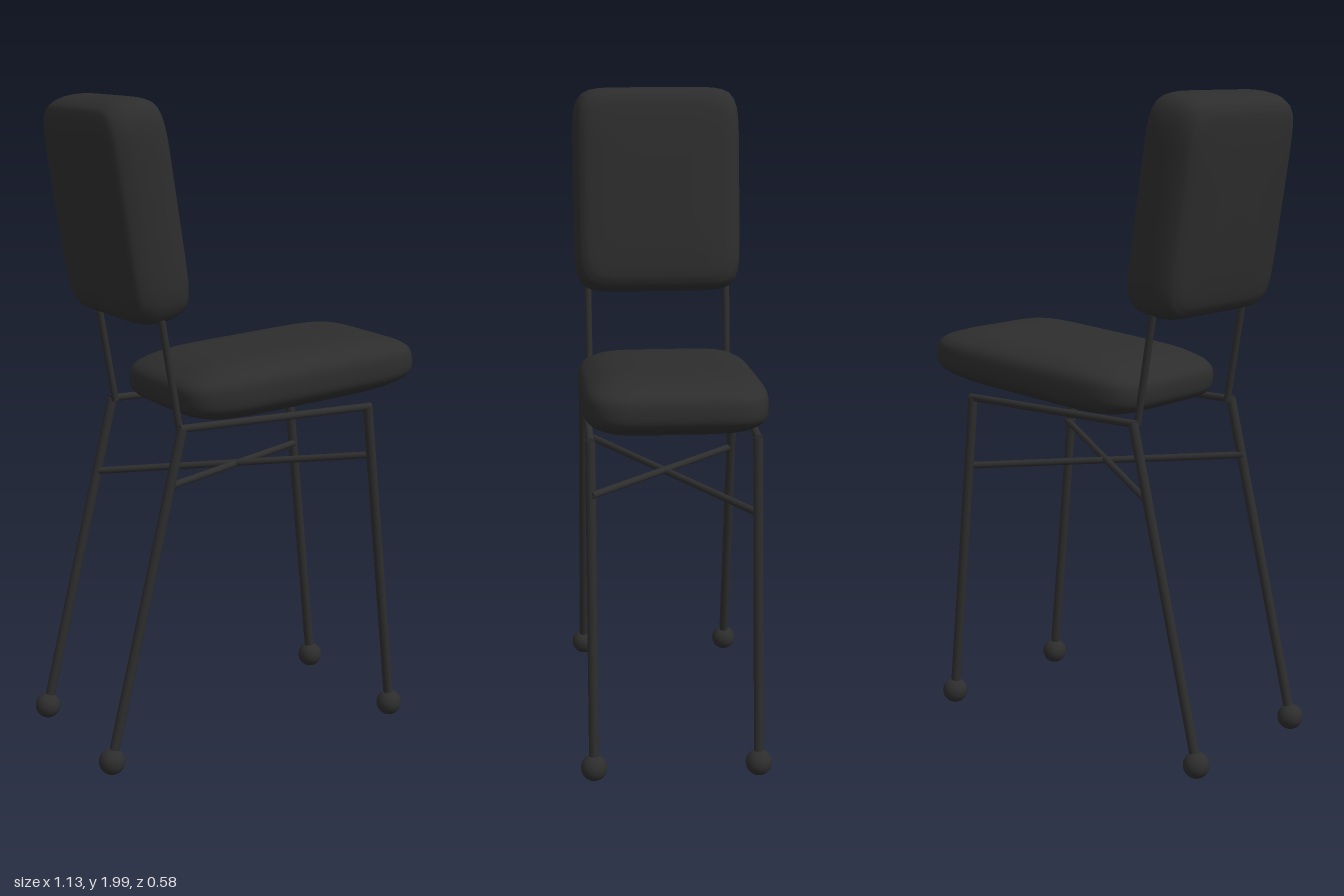
import * as THREE from 'three';
import { mergeVertices } from 'three/addons/utils/BufferGeometryUtils.js';

const black = new THREE.MeshStandardMaterial({ color: 0x2d2d2d });
black.name = 'black';

const V = (x, y, z) => new THREE.Vector3(x, y, z);

// Padded slab: a smooth lathe profile whose round plan is pushed out to a rounded rectangle
function cushion(name, halfLength, halfWidth, power, profile) {
  const upper = profile.map(([r, h]) => new THREE.Vector2(r, h));
  const lower = profile.map(([r, h]) => new THREE.Vector2(r, -h)).reverse();
  const curve = new THREE.SplineCurve([...lower.reverse(), ...upper.reverse()]);
  const points = curve.getPoints(44);
  points[0].x = points[points.length - 1].x = 0;
  let geo = new THREE.LatheGeometry(points, 96);
  const pos = geo.attributes.position;
  for (let i = 0; i < pos.count; i++) {
    const x = pos.getX(i), z = pos.getZ(i), r = Math.hypot(x, z);
    if (r < 1e-5) continue;
    const c = x / r, s = z / r;
    const reach = (Math.abs(c / halfLength) ** power + Math.abs(s / halfWidth) ** power) ** (-1 / power);
    pos.setX(i, x * reach);
    pos.setZ(i, z * reach);
  }
  geo.deleteAttribute('normal');
  geo.deleteAttribute('uv');
  geo = mergeVertices(geo, 1e-5);
  geo.computeVertexNormals();
  const mesh = new THREE.Mesh(geo, black);
  mesh.name = name;
  return mesh;
}

// Round bar between two points
function bar(name, from, to, radius) {
  const dir = to.clone().sub(from);
  const mesh = new THREE.Mesh(new THREE.CylinderGeometry(radius, radius, dir.length(), 12), black);
  mesh.position.copy(from).add(to).multiplyScalar(0.5);
  mesh.quaternion.setFromUnitVectors(V(0, 1, 0), dir.normalize());
  mesh.name = name;
  return mesh;
}

export function createModel() {
  const chair = new THREE.Group();
  chair.name = 'chair';

  // Upholstery
  const seat = cushion('seat', 0.41, 0.27, 6,
    [[0, 0.092], [0.5, 0.09], [0.75, 0.079], [0.9, 0.06], [0.97, 0.043], [1, 0.02]]);
  seat.position.set(0.153, 1.133, 0);
  seat.rotation.z = 0.08;
  const backrest = cushion('backrest', 0.326, 0.268, 8,
    [[0, 0.107], [0.5, 0.105], [0.8, 0.098], [0.9, 0.088], [0.96, 0.071], [1, 0.03]]);
  backrest.position.set(-0.379, 1.667, 0);
  backrest.rotation.z = -Math.PI / 2 + 0.154;
  chair.add(seat, backrest);

  // Side frames
  for (const side of [1, -1]) {
    const z = 0.247 * side;
    const rear = V(-0.285, 1.035, z), front = V(0.36, 1.035, z);
    const rearFoot = V(-0.528, 0.04, 0.25 * side), frontFoot = V(0.46, 0.04, 0.25 * side);
    chair.add(
      bar('rearLeg', rear, rearFoot, 0.015),
      bar('frontLeg', front, frontFoot, 0.015),
      bar('seatRail', V(-0.293, 1.035, z), V(0.37, 1.035, z), 0.012),
      bar('backPost', V(-0.284, 1.03, 0.226 * side), V(-0.355, 1.45, 0.226 * side), 0.011));
    for (const p of [rearFoot, frontFoot]) {
      const foot = new THREE.Mesh(new THREE.SphereGeometry(0.04, 24, 16), black);
      foot.position.copy(p);
      foot.name = 'ballFoot';
      chair.add(foot);
    }
  }

  // Crossed braces between diagonal legs
  chair.add(
    bar('crossBrace', V(-0.335, 0.863, 0.245), V(0.385, 0.811, -0.245), 0.011),
    bar('crossBrace', V(-0.345, 0.803, -0.245), V(0.39, 0.878, 0.245), 0.011));
  return chair;
}
